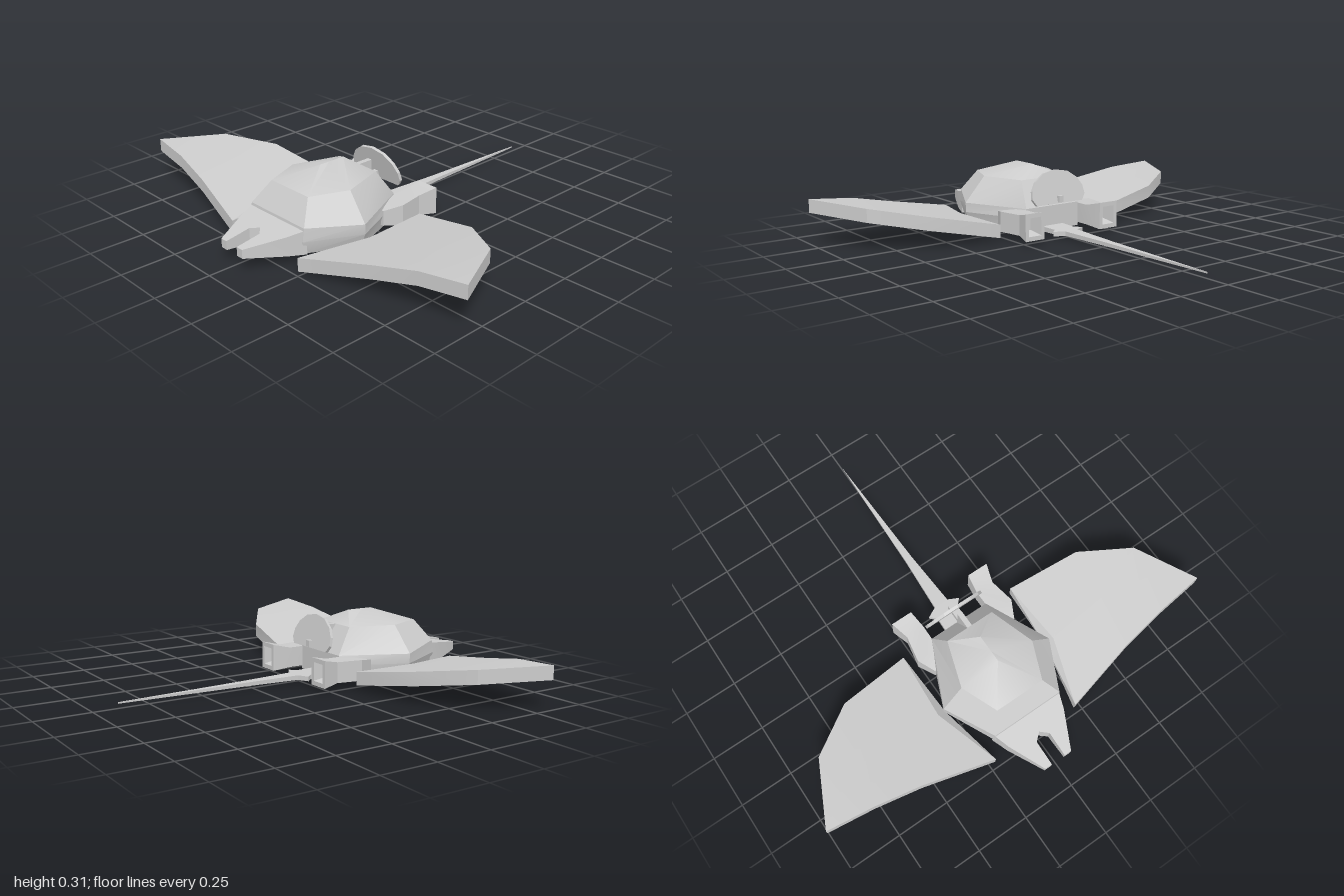
import * as THREE from 'three';
import { toCreasedNormals } from 'three/addons/utils/BufferGeometryUtils.js';

const material = new THREE.MeshStandardMaterial({ color: 0xcccccc, side: THREE.DoubleSide });

function add(group, name, geometry, crease = 0.3) {
  const mesh = new THREE.Mesh(toCreasedNormals(geometry, crease), material);
  mesh.name = name;
  group.add(mesh);
  return mesh;
}

// Closed solid joining rings of [x, y, z] points, wound so that it faces outwards
function loft(rings) {
  const tris = [];
  const n = rings[0].length;
  for (let r = 0; r + 1 < rings.length; r++) {
    for (let i = 0; i < n; i++) {
      const j = (i + 1) % n;
      const [a, b, c, d] = [rings[r][i], rings[r][j], rings[r + 1][j], rings[r + 1][i]];
      tris.push([a, b, c], [a, c, d]);
    }
  }
  [rings[0], rings[rings.length - 1]].forEach((ring, end) => {
    const mid = [0, 1, 2].map((k) => ring.reduce((sum, p) => sum + p[k], 0) / n);
    ring.forEach((p, i) => {
      const q = ring[(i + 1) % n];
      tris.push(end ? [p, q, mid] : [q, p, mid]);
    });
  });
  const v = (p) => new THREE.Vector3(...p);
  const solid = tris.filter(([a, b, c]) => v(b).sub(v(a)).cross(v(c).sub(v(a))).length() > 1e-9);
  const volume = solid.reduce((sum, [a, b, c]) => sum + v(a).dot(v(b).cross(v(c))), 0);
  if (volume < 0) solid.forEach((t) => t.reverse());
  const geometry = new THREE.BufferGeometry();
  geometry.setAttribute('position', new THREE.Float32BufferAttribute(solid.flat(2), 3));
  geometry.computeVertexNormals();
  return geometry;
}

// Hexagonal ring from its front, side and back corners on one side
function hexRing(front, side, back) {
  const half = [front, side, back];
  return [...half, ...half.map(([x, y, z]) => [-x, y, z]).reverse()];
}

// Flat plate mirrored about x = 0, given a half outline in [x, z], with heights as functions of z
function plate(half, topAt, bottomAt) {
  const outline = [...half, ...half.filter((p) => p[0] > 0).map(([x, z]) => [-x, z]).reverse()];
  const shape = new THREE.Shape(outline.map(([x, z]) => new THREE.Vector2(x, -z)));
  const geometry = new THREE.ExtrudeGeometry(shape, { depth: 1, bevelEnabled: false });
  geometry.rotateX(-Math.PI / 2);
  const pos = geometry.attributes.position;
  for (let i = 0; i < pos.count; i++) {
    const z = pos.getZ(i);
    pos.setY(i, pos.getY(i) > 0.5 ? topAt(z) : bottomAt(z));
  }
  geometry.computeVertexNormals();
  return geometry;
}

const lerp = THREE.MathUtils.lerp;
const mapLinear = THREE.MathUtils.mapLinear;

// Swept wing: front, middle and back points at each station; the tip narrows to an edge
function wing(side) {
  const stations = [
    [[0.22, 0.725], [0.32, 0.42], [0.3, 0.11]],
    [[0.56, 0.645], [0.6, 0.4], [0.64, 0.155]],
    [[0.78, 0.61], [0.82, 0.45], [0.86, 0.3]],
    [[1, 0.585], [1, 0.585], [1, 0.585]],
  ];
  const heights = [[0.22, 0.062], [0.6, 0.143], [0.78, 0.183], [1, 0.207]];
  const topAt = (x) => {
    let k = 0;
    while (k < 2 && x > heights[k + 1][0]) k++;
    const y = mapLinear(x, heights[k][0], heights[k + 1][0], heights[k][1], heights[k + 1][1]);
    return side < 0 ? y + lerp(0.01, -0.018, (x - 0.22) / 0.78) : y;
  };
  return loft(stations.map((row) => [
    ...row.map(([x, z]) => [side * x, topAt(x), z]),
    ...row.map(([x, z]) => [side * x, topAt(x) - 0.062, z]).reverse(),
  ]));
}

// Engine: rectangular sections from front to rear, then back inside as an open nozzle
function engine(side) {
  const sections = [
    // z, inner x, outer x, bottom y, top y
    [0.25, 0.19, 0.22, 0.04, 0.11],
    [0.17, 0.15, 0.26, 0.03, 0.125],
    [0.05, 0.148, 0.238, 0.03, 0.125],
    [-0.035, 0.16, 0.263, 0.02, 0.145],
    [-0.035, 0.178, 0.245, 0.04, 0.125],
    [0.03, 0.19, 0.233, 0.055, 0.11],
  ];
  return loft(sections.map(([z, x0, x1, y0, y1]) => [
    [side * x0, y0, z], [side * x1, y0, z], [side * x1, y1, z], [side * x0, y1, z],
  ]));
}

export function createModel() {
  const model = new THREE.Group();
  model.name = 'rayShapedCraft';

  // Faceted hull
  add(model, 'hull', loft([
    hexRing([0.16, 0.03, 0.65], [0.265, 0.02, 0.42], [0.15, 0.015, 0.12]),
    hexRing([0.175, 0.09, 0.66], [0.29, 0.085, 0.42], [0.16, 0.085, 0.12]),
    hexRing([0.175, 0.15, 0.65], [0.29, 0.13, 0.42], [0.15, 0.13, 0.12]),
    hexRing([0.12, 0.25, 0.58], [0.19, 0.25, 0.41], [0.12, 0.25, 0.2]),
  ]));

  // Low canopy rising to a short ridge
  add(model, 'canopy', loft([
    hexRing([0.12, 0.25, 0.58], [0.19, 0.25, 0.41], [0.12, 0.25, 0.2]),
    hexRing([0, 0.307, 0.41], [0, 0.307, 0.36], [0, 0.307, 0.28]),
  ]), 0.65);

  // Forked nose
  add(model, 'forkedNose', plate(
    [[0, 0.74], [0.035, 0.77], [0.035, 0.885], [0.07, 0.885], [0.15, 0.72], [0.178, 0.64], [0, 0.64]],
    (z) => mapLinear(z, 0.64, 0.885, 0.14, 0.1),
    (z) => mapLinear(z, 0.64, 0.885, 0.03, 0.06),
  ));

  // Wings and engines on both sides
  for (const side of [1, -1]) {
    const label = side > 0 ? 'left' : 'right';
    add(model, label + 'Wing', wing(side), 0.5);
    add(model, label + 'Engine', engine(side));
  }

  // Tail spike with a barbed base
  add(model, 'tailSpike', plate(
    [[0, 0.15], [0.06, 0.15], [0.055, 0.03], [0.085, 0], [0.035, -0.025], [0.018, -0.3], [0, -0.89]],
    (z) => mapLinear(z, 0.15, -0.89, 0.037, 0.027),
    (z) => mapLinear(z, 0.15, -0.89, 0.013, 0.02),
  ));

  // Rounded rear fin, leaning forward
  const half = [[0.13, 0], [0.15, 0.03], [0.145, 0.07], [0.12, 0.11], [0.07, 0.145], [0, 0.158]];
  const outline = [...half, ...half.slice(0, -1).map(([x, y]) => [-x, y]).reverse()];
  const finShape = new THREE.Shape(outline.map(([x, y]) => new THREE.Vector2(x, y)));
  const fin = add(model, 'rearFin',
    new THREE.ExtrudeGeometry(finShape, { depth: 0.014, bevelEnabled: false }));
  fin.rotation.x = 0.25;
  fin.position.set(0, 0.15, 0.06);

  // Spine and strut carrying the fin
  const spine = add(model, 'spine', new THREE.BoxGeometry(0.024, 0.12, 0.085));
  spine.position.set(0, 0.19, 0.165);
  const strut = add(model, 'finStrut', new THREE.BoxGeometry(0.024, 0.03, 0.09));
  strut.position.set(0, 0.17, 0.095);

  return model;
}
